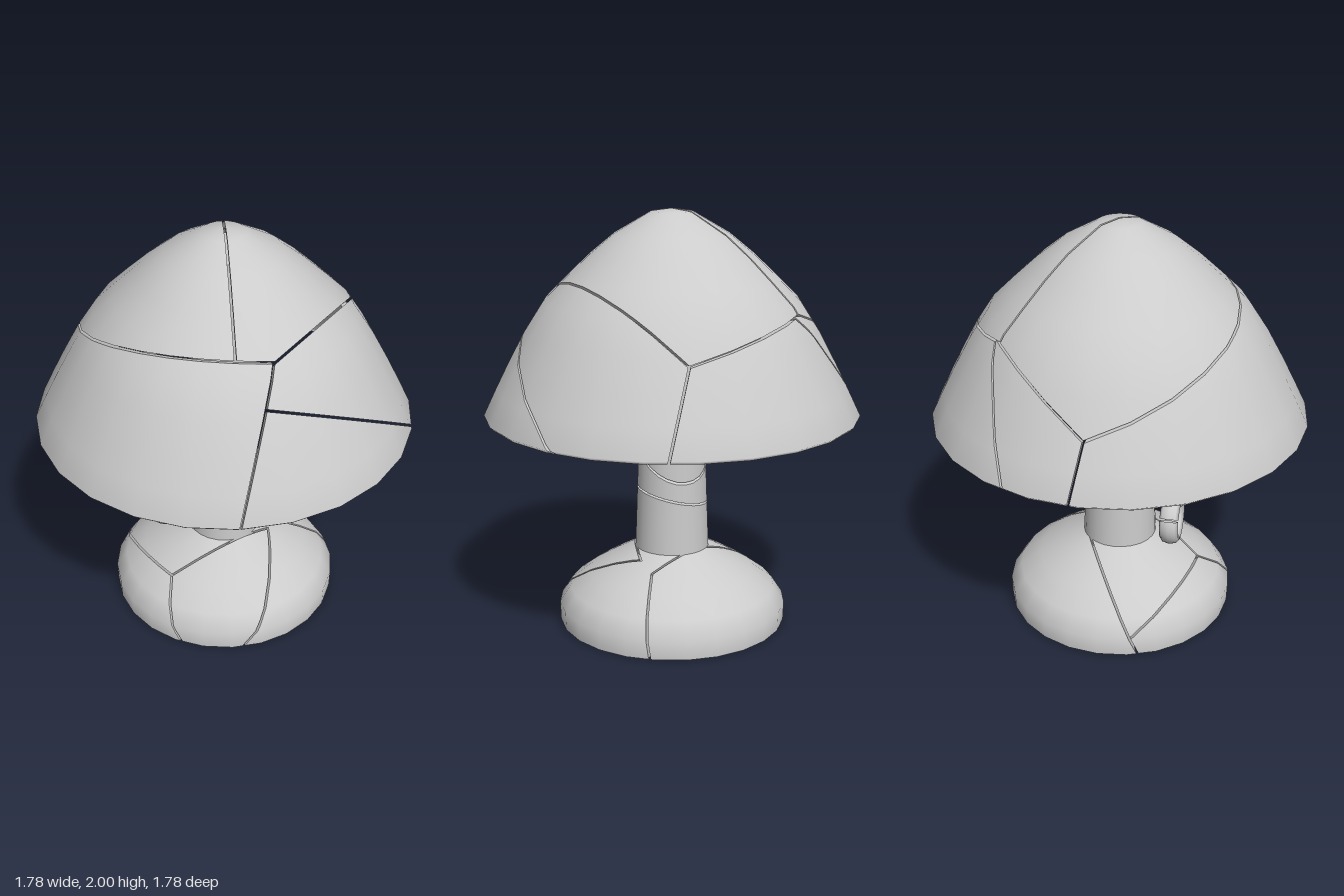
import * as THREE from 'three';

const V = (x, y, z) => new THREE.Vector3(x, y, z);
const SEG = 24;
const GAP = 0.005;
const material = new THREE.MeshStandardMaterial({ color: 0xcccccc, side: THREE.DoubleSide });

// Smooth normals (radial, up) along a [radius, height] profile running upwards
function profileNormals(profile) {
  return profile.map(([r], i) => {
    if (r === 0) return [0, 1];
    const a = profile[Math.max(i - 1, 0)], b = profile[Math.min(i + 1, profile.length - 1)];
    const dr = b[0] - a[0], dy = b[1] - a[1], len = Math.hypot(dr, dy);
    return [dy / len, -dr / len];
  });
}

// Turned body made of small convex cells, so that it can be broken along planes.
// Without an inner profile the body is solid up to its axis.
function turnedCells(outer, inner) {
  const hollow = !!inner;
  inner = inner || outer.map(([, y]) => [0, y]);
  const normals = profileNormals(outer);
  const corner = (list, i, k, sign) => {
    const a = (k / SEG) * Math.PI * 2, c = Math.cos(a), s = Math.sin(a);
    const [nr, ny] = normals[i], [r, y] = list[i];
    return { p: V(r * c, y, r * s), n: sign ? V(nr * c, ny, nr * s).multiplyScalar(sign) : null };
  };
  const cells = [];
  for (let i = 0; i < outer.length - 1; i++) {
    for (let k = 0; k < SEG; k++) {
      const O = (j, m, s = 0) => corner(outer, j, m, s);
      const I = (j, m, s = 0) => corner(inner, j, m, s);
      const l = k + 1, j = i + 1;
      cells.push([
        { show: true, v: [O(i, k, 1), O(i, l, 1), O(j, l, 1), O(j, k, 1)] },
        { show: hollow, v: [I(i, k, -1), I(i, l, -1), I(j, l, -1), I(j, k, -1)] },
        { show: i === 0, v: [O(i, k), O(i, l), I(i, l), I(i, k)] },
        { show: j === outer.length - 1, v: [O(j, k), O(j, l), I(j, l), I(j, k)] },
        { show: false, v: [O(i, k), O(j, k), I(j, k), I(i, k)] },
        { show: false, v: [O(i, l), O(j, l), I(j, l), I(i, l)] },
      ]);
    }
  }
  return cells;
}

const centreOf = (verts) =>
  verts.reduce((sum, q) => sum.add(q.p), V(0, 0, 0)).divideScalar(verts.length);

// Keeps the part of a convex cell in front of the plane and closes the cut
function clipCell(cell, plane) {
  const cut = [], faces = [];
  for (const face of cell) {
    const out = [];
    face.v.forEach((a, i) => {
      const b = face.v[(i + 1) % face.v.length];
      const da = plane.distanceToPoint(a.p), db = plane.distanceToPoint(b.p);
      if (da >= 0) out.push(a);
      if (da >= 0 !== db >= 0) {
        const t = da / (da - db);
        const q = {
          p: a.p.clone().lerp(b.p, t),
          n: a.n && b.n ? a.n.clone().lerp(b.n, t).normalize() : null,
        };
        out.push(q);
        cut.push({ p: q.p, n: null });
      }
    });
    if (out.length > 2) faces.push({ show: face.show, v: out });
  }
  if (cut.length > 2) {
    const c = centreOf(cut), n = plane.normal;
    const u = V(n.y, n.z, n.x).cross(n).normalize(), w = n.clone().cross(u);
    const angle = (q) => Math.atan2(q.p.clone().sub(c).dot(w), q.p.clone().sub(c).dot(u));
    cut.sort((a, b) => angle(a) - angle(b));
    faces.push({ show: true, v: cut });
  }
  return faces;
}

// One mesh from the visible faces, each turned away from the middle of its cell
function meshFromCells(cells, name) {
  const pos = [], nor = [];
  for (const cell of cells) {
    if (!cell.length) continue;
    const mid = centreOf(cell.flatMap((f) => f.v));
    for (const { show, v } of cell) {
      if (!show) continue;
      const n = V(0, 0, 0);
      v.forEach((a, i) => n.add(a.p.clone().sub(mid).cross(v[(i + 1) % v.length].p.clone().sub(mid))));
      if (n.lengthSq() < 1e-16) continue;
      n.normalize();
      let ring = v;
      if (n.dot(centreOf(v).sub(mid)) < 0) {
        ring = [...v].reverse();
        n.negate();
      }
      for (let i = 1; i < ring.length - 1; i++) {
        for (const q of [ring[0], ring[i], ring[i + 1]]) {
          pos.push(...q.p.toArray());
          nor.push(...(q.n || n).toArray());
        }
      }
    }
  }
  const g = new THREE.BufferGeometry();
  g.setAttribute('position', new THREE.Float32BufferAttribute(pos, 3));
  g.setAttribute('normal', new THREE.Float32BufferAttribute(nor, 3));
  const mesh = new THREE.Mesh(g, material);
  mesh.name = name;
  return mesh;
}

// Breaks a body: every piece is the side of its crack planes that holds its seed point
function breakInto(name, cells, cracks, pieces) {
  const group = new THREE.Group();
  group.name = name;
  pieces.forEach(([seed, names], i) => {
    let part = cells;
    for (const key of names.split(' ')) {
      const plane = new THREE.Plane().setFromCoplanarPoints(...cracks[key]);
      if (plane.distanceToPoint(seed) < 0) plane.negate();
      plane.constant -= GAP;
      part = part.map((cell) => clipCell(cell, plane));
    }
    group.add(meshFromCells(part, `${name}Piece${i + 1}`));
  });
  return group;
}

function makeShade() {
  const outer = [[0.875, 1.03], [0.89, 1.045], [0.83, 1.17], [0.77, 1.29], [0.69, 1.44], [0.6, 1.58],
    [0.5, 1.68], [0.385, 1.79], [0.27, 1.885], [0.1, 1.985], [0, 2]];
  const inner = outer.map(([r, y], i) => (i < 2 ? [0.86, 1.03 + i * 0.015] : [Math.max(r - 0.025, 0), y - 0.022]));
  // Point on the dome above (x, z)
  const S = (x, z) => {
    const r = Math.hypot(x, z);
    let i = 1;
    while (i < outer.length - 2 && outer[i + 1][0] > r) i++;
    const [a, b] = [outer[i], outer[i + 1]];
    return V(x, a[1] + ((b[1] - a[1]) * (a[0] - r)) / (a[0] - b[0]), z);
  };
  const O = V(0, 1, 0);
  return breakInto('shade', turnedCells(outer, inner), {
    crown: [S(-0.43, -0.45), S(0.35, 0.34), V(0, 2.1, 0)],
    front: [S(-0.77, 0), S(-0.15, 0.56), S(0.38, 0.37)],
    left: [S(-0.77, 0), S(-0.43, -0.45), O],
    back: [S(-0.43, -0.45), S(-0.15, -0.64), S(0.2, -0.68)],
    right: [S(0.2, -0.68), S(0.48, -0.15), S(0.48, 0.31)],
    rimFront: [S(0.55, 0.37), S(0.63, 0.62), O],
    rimRight: [S(0.55, 0.37), S(0.78, -0.18), S(0.76, -0.46)],
    rimBack: [S(0.2, -0.68), S(0.35, -0.82), O],
    rimBackLeft: [S(-0.4, -0.48), S(-0.81, -0.36), O],
    rimLeft: [S(-0.77, 0), S(-0.88, -0.04), O],
  }, [
    [S(-0.2, 0.15), 'crown front left'],
    [S(0.2, -0.2), 'crown front back right'],
    [S(-0.2, 0.8), 'front rimFront rimLeft'],
    [S(-0.86, -0.2), 'left rimLeft rimBackLeft'],
    [S(-0.3, -0.8), 'back rimBack rimBackLeft'],
    [S(0.6, -0.5), 'right rimFront rimRight rimBack'],
    [S(0.85, 0.1), 'rimFront rimRight'],
  ]);
}

function makeBase() {
  const outer = [[0.55, 0], [0.553, 0.09], [0.5, 0.17], [0.4, 0.245], [0.3, 0.305], [0.18, 0.37]];
  const O = V(0, 0, 0);
  return breakInto('base', turnedCells(outer), {
    front: [V(0, 0.25, 0.4), V(0.17, 0, 0.52), O],
    frontArc: [V(-0.53, 0.08, 0.14), V(-0.2, 0.24, 0.36), V(0, 0.25, 0.4)],
    shoulder: [V(0, 0.25, 0.4), V(0.16, 0.37, 0.08), O],
    right: [V(0.43, 0, 0.35), V(0.45, 0.19, 0.2), V(0.14, 0.35, -0.15)],
    back: [V(0.3, 0, -0.46), V(0.15, 0.36, -0.14), O],
    left: [V(-0.12, 0.36, -0.12), V(-0.48, 0.17, 0.1), O],
  }, [
    [V(-0.3, 0.1, 0.4), 'front frontArc left'],
    [V(-0.1, 0.3, 0.2), 'frontArc shoulder left'],
    [V(0.3, 0.2, 0.3), 'front shoulder right'],
    [V(0.45, 0.15, -0.1), 'right back'],
    [V(-0.1, 0.1, -0.45), 'back left'],
  ]);
}

function makeStem() {
  return breakInto('stem', turnedCells([[0.18, 0.34], [0.155, 1.04], [0.15, 1.9]]), {
    upper: [V(-0.16, 0.92, 0.1), V(0.16, 0.91, 0.08), V(0.1, 0.75, -0.13)],
    lower: [V(-0.14, 0.61, 0.1), V(0.17, 0.67, 0), V(0, 0.62, -0.17)],
  }, [
    [V(0, 1.5, 0), 'upper'],
    [V(0, 0.74, 0), 'upper lower'],
    [V(0, 0.4, 0), 'lower'],
  ]);
}

// Pull cord in two lengths with a broken ring at its end
function makePull() {
  const group = new THREE.Group();
  group.name = 'pullCord';
  for (const [y0, y1] of [[0.69, 0.905], [0.918, 1.74]]) {
    const cord = new THREE.Mesh(new THREE.CylinderGeometry(0.032, 0.032, y1 - y0, 10), material);
    cord.position.set(-0.2, (y0 + y1) / 2, 0.285);
    cord.name = 'cord';
    group.add(cord);
  }
  const breaks = [15, 155, 255, 375].map(THREE.MathUtils.degToRad);
  for (let i = 0; i < 3; i++) {
    const arc = breaks[i + 1] - breaks[i] - 0.1;
    const part = new THREE.Mesh(new THREE.TorusGeometry(0.1, 0.026, 8, 9, arc), material);
    part.scale.z = 1.75;
    part.rotation.z = breaks[i] + 0.05;
    part.position.set(-0.17, 0.57, 0.288);
    part.name = 'ringPart';
    group.add(part);
  }
  return group;
}

export function createModel() {
  const model = new THREE.Group();
  model.name = 'brokenMushroomLamp';
  model.add(makeBase(), makeStem(), makeShade(), makePull());
  return model;
}
